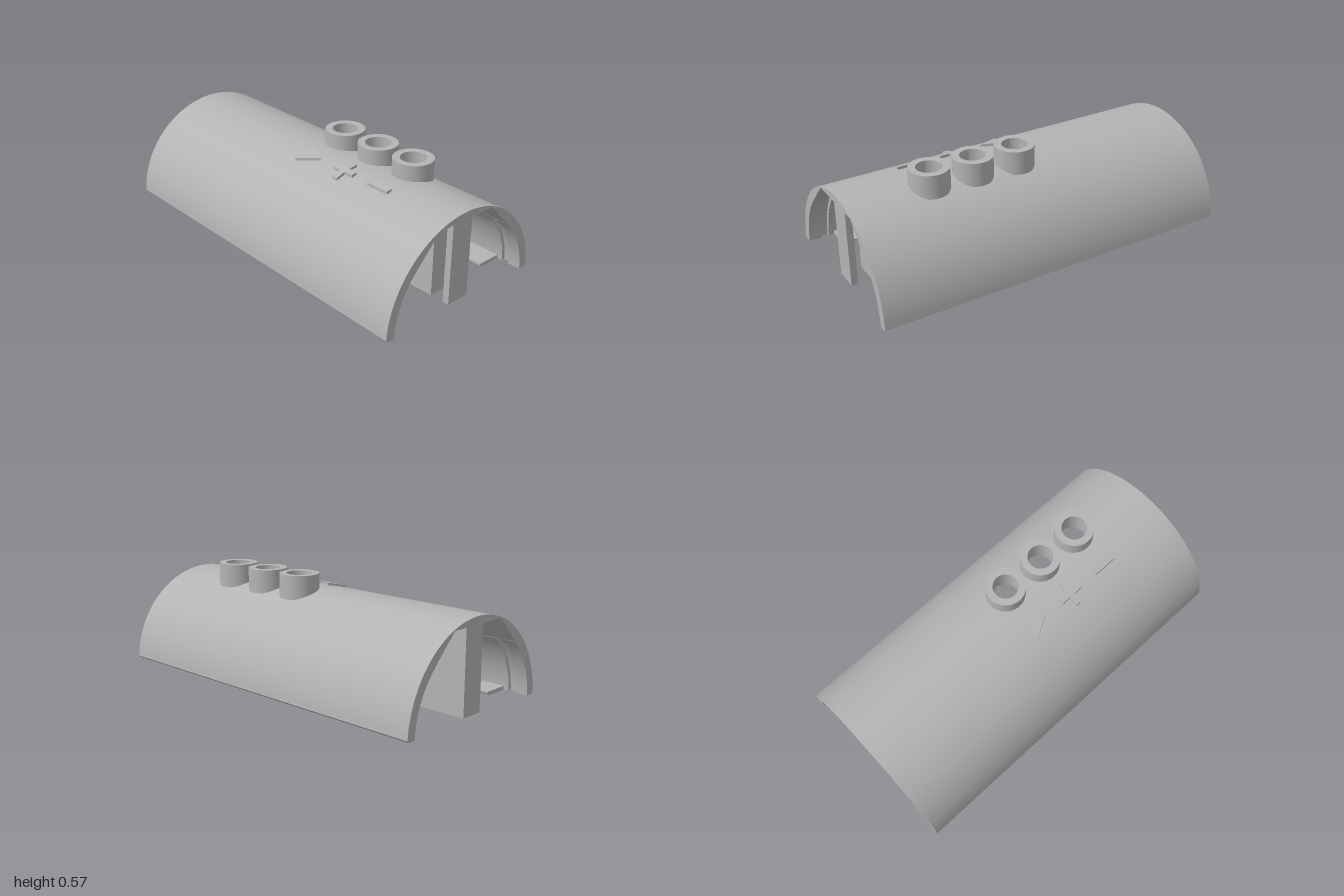
import * as THREE from 'three';
import { toCreasedNormals } from 'three/addons/utils/BufferGeometryUtils.js';

const grey = new THREE.MeshStandardMaterial({ color: 0xb4b4b4 });
grey.name = 'grey plastic';

const R = 0.5, CY = -0.015, CEILING = 0.445;
const BUTTON_X = [0.06, 0.305, 0.55], BUTTON_Z = -0.115, BORE = 0.067;
const outerY = z => Math.sqrt(R * R - z * z) + CY;
const ceilingY = z => CEILING - Math.max(0, Math.abs(z) - 0.18);

function add(parent, name, geometry) {
  const mesh = new THREE.Mesh(geometry, grey);
  mesh.name = name;
  parent.add(mesh);
  return mesh;
}

// Extrude a [z, y] profile along x
function extrudeX(points, x0, x1) {
  const shape = new THREE.Shape(points.map(([z, y]) => new THREE.Vector2(-z, y)));
  const g = new THREE.ExtrudeGeometry(shape, { depth: x1 - x0, bevelEnabled: false });
  g.rotateY(Math.PI / 2).translate(x0, 0, 0);
  return toCreasedNormals(g, 0.35);
}

// Extrude a plan shape (x, -z) upward
function extrudeY(shape, y0, y1) {
  const g = new THREE.ExtrudeGeometry(shape, { depth: y1 - y0, bevelEnabled: false, curveSegments: 16 });
  return g.rotateX(-Math.PI / 2).translate(0, y0, 0);
}

// Curved side wall profile, from the foot up to |z| = 0.22
function sideProfile(s, innerR) {
  const pts = [[s * 0.465, 0], [s * 0.49, 0], [s * 0.4998, 0.01]];
  const t0 = 0.06, t1 = Math.acos(0.22 / R), n = 36;
  for (let i = 0; i <= n; i++) {
    const t = t0 + (t1 - t0) * i / n;
    pts.push([s * R * Math.cos(t), R * Math.sin(t) + CY]);
  }
  pts.push([s * 0.22, ceilingY(0.22)], [s * 0.318, 0.305]);
  const a0 = Math.asin(-CY / innerR);
  for (let i = 0; i <= 20; i++) {
    const t = Math.PI / 4 + (a0 - Math.PI / 4) * i / 20;
    pts.push([s * innerR * Math.cos(t), Math.max(0, innerR * Math.sin(t) + CY)]);
  }
  if (innerR > 0.465) pts.shift();
  return pts;
}

// Roof strip profile between two z positions
function roofProfile(z0, z1) {
  const pts = [];
  for (let i = 0; i <= 16; i++) {
    const z = z0 + (z1 - z0) * i / 16;
    pts.push([z, outerY(z)]);
  }
  for (const z of [z1, 0.18, -0.18, z0]) if (z >= z0 && z <= z1) pts.push([z, ceilingY(z)]);
  return pts;
}

// Curved rectangular roof patch with a round hole, top and underside
function holedRoof(cx, cz, hx, hz) {
  const pos = [], index = [], n = 48, m = 5;
  [outerY, ceilingY].forEach((height, side) => {
    const base = pos.length / 3;
    for (let j = 0; j <= m; j++) for (let i = 0; i <= n; i++) {
      const a = i / n * Math.PI * 2, c = Math.cos(a), s = Math.sin(a);
      const k = 1 / Math.max(Math.abs(c), Math.abs(s)), f = j / m;
      const x = cx + c * (BORE * (1 - f) + hx * k * f);
      const z = cz + s * (BORE * (1 - f) + hz * k * f);
      pos.push(x, height(z), z);
    }
    for (let j = 0; j < m; j++) for (let i = 0; i < n; i++) {
      const a = base + j * (n + 1) + i, b = a + n + 1;
      if (side) index.push(a, b, a + 1, a + 1, b, b + 1);
      else index.push(a, a + 1, b, a + 1, b + 1, b);
    }
  });
  const g = new THREE.BufferGeometry();
  g.setAttribute('position', new THREE.Float32BufferAttribute(pos, 3));
  g.setIndex(index);
  g.computeVertexNormals();
  return g;
}

// Raised symbol that follows the roof curve
function symbol(points) {
  const g = extrudeY(new THREE.Shape(points.map(([x, z]) => new THREE.Vector2(x, -z))), -0.01, 0.015);
  const p = g.attributes.position;
  for (let i = 0; i < p.count; i++) p.setY(i, p.getY(i) + outerY(p.getZ(i)));
  g.computeVertexNormals();
  return g;
}

const rect = (x0, x1, z0, z1) => [[x0, z0], [x1, z0], [x1, z1], [x0, z1]];

export function createModel() {
  const model = new THREE.Group();
  model.name = 'buttonHousing';

  // Shell sides with end grooves, and inward floor ledges
  const shell = new THREE.Group();
  shell.name = 'shell';
  model.add(shell);
  const cuts = [-1, -0.93, -0.89, 0.89, 0.93, 1];
  for (const s of [1, -1]) {
    for (let i = 0; i < 5; i++) {
      add(shell, 'sideWall', extrudeX(sideProfile(s, i % 2 ? 0.47 : 0.45), cuts[i], cuts[i + 1]));
    }
    const ledge = [[0.465, 0], [0.325, 0], [0.31, 0.01], [0.31, 0.02], [0.465, 0.02]];
    add(model, 'floorLedge', extrudeX(ledge.map(([z, y]) => [s * z, y]), -0.86, 0.86));
  }

  // Roof, with pierced patches under the buttons
  const hx = 0.1225, hz = 0.105, zBack = BUTTON_Z - hz, zMid = BUTTON_Z + hz;
  add(shell, 'roofFront', extrudeX(roofProfile(zMid, 0.22), -1, 1));
  add(shell, 'roofBackRight', extrudeX(roofProfile(zBack, zMid), -1, BUTTON_X[0] - hx));
  add(shell, 'roofBackLeft', extrudeX(roofProfile(zBack, zMid), BUTTON_X[2] + hx, 1));
  for (const x of BUTTON_X) add(shell, 'roofAroundButton', holedRoof(x, BUTTON_Z, hx, hz));

  // Button collars
  const ring = [[0.105, 0.44], [0.105, 0.567], [BORE, 0.567], [BORE, 0.44], [0.105, 0.44]];
  const collar = toCreasedNormals(
    new THREE.LatheGeometry(ring.map(([r, y]) => new THREE.Vector2(r, y)), 48), 0.5);
  for (const x of BUTTON_X) add(model, 'buttonCollar', collar).position.set(x, 0, BUTTON_Z);

  // Raised symbols
  const a = 0.016, b = 0.068, px = 0.305, pz = 0.115;
  add(model, 'triangleSymbol', symbol([[0.003, 0.048], [0.127, 0.115], [0.003, 0.182]]));
  add(model, 'plusSymbol', symbol([
    [-a, -b], [a, -b], [a, -a], [b, -a], [b, a], [a, a],
    [a, b], [-a, b], [-a, a], [-b, a], [-b, -a], [-a, -a]].map(([x, z]) => [px + x, pz + z])));
  add(model, 'minusSymbol', symbol(rect(0.48, 0.615, 0.1, 0.13)));

  // Central spine: hollow walls, a rear pocket and clearance below each bore
  const spine = new THREE.Shape();
  const W = 0.065, notch = 0.07, dip = Math.asin((-W - BUTTON_Z) / notch);
  spine.moveTo(-0.98, -W);
  spine.lineTo(0.87, -W);
  spine.lineTo(0.87, W);
  spine.lineTo(0.845, W);
  spine.lineTo(0.845, -0.045);
  spine.lineTo(0.63, -0.045);
  spine.lineTo(0.63, W);
  for (const x of [...BUTTON_X].reverse()) {
    spine.lineTo(x + notch * Math.cos(dip), W);
    spine.absarc(x, -BUTTON_Z, notch, -dip, Math.PI + dip, true);
  }
  spine.lineTo(-0.98, W);
  for (const [x0, x1, z0] of [[-0.95, -0.32, -0.045], [-0.29, -0.04, -0.045], [0, 0.6, -0.03]]) {
    spine.holes.push(new THREE.Path(
      rect(x0, x1, z0, 0.045).map(([x, z]) => new THREE.Vector2(x, -z))));
  }
  add(model, 'centralSpine', toCreasedNormals(extrudeY(spine, 0, 0.446), 0.5));

  // Separate end post
  const post = new THREE.BoxGeometry(0.035, 0.446, 0.13);
  add(model, 'endPost', post).position.set(0.9625, 0.223, 0);

  return model;
}
